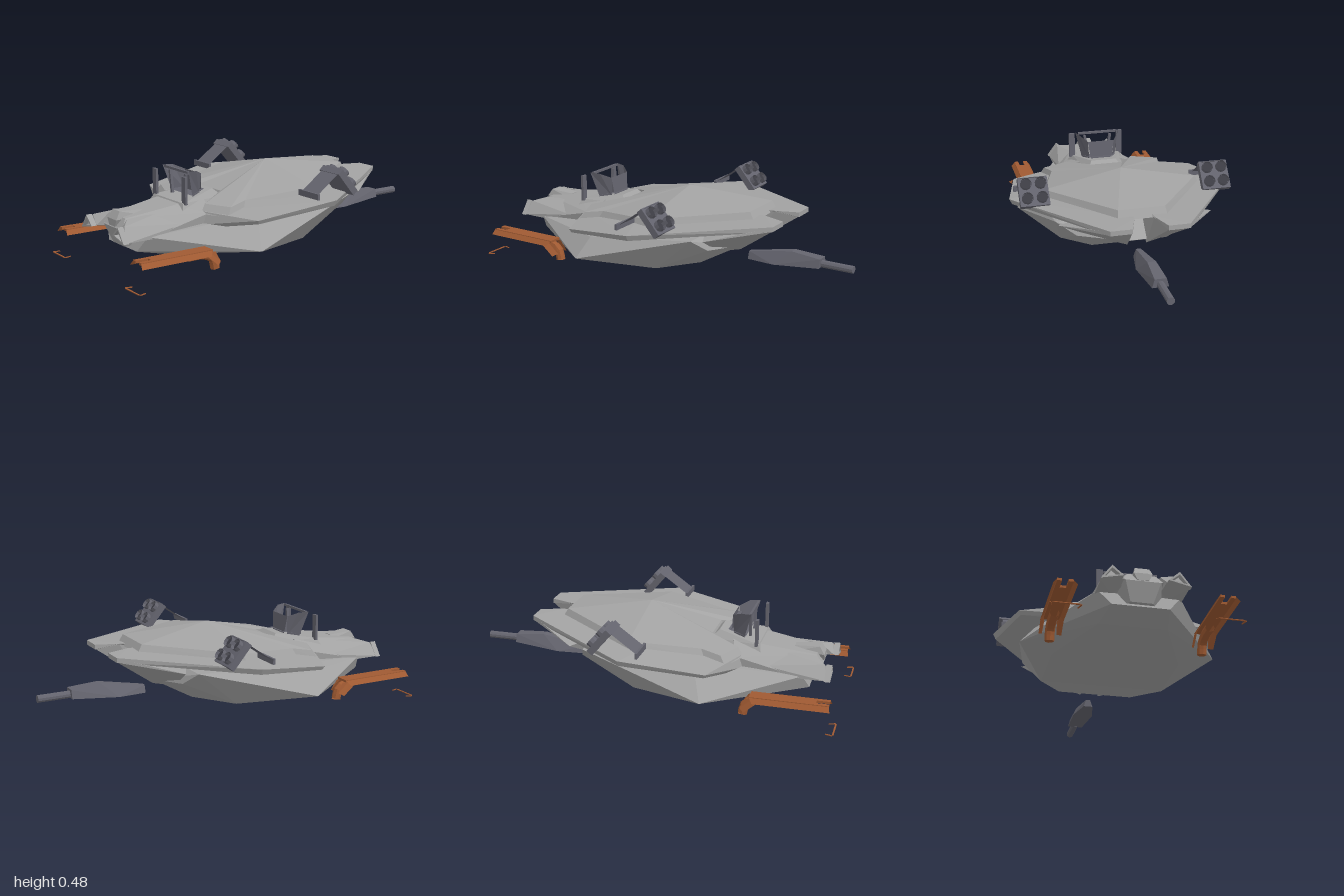
import * as THREE from 'three';
import { ConvexGeometry } from 'three/addons/geometries/ConvexGeometry.js';

const material = (name, color) => {
  const m = new THREE.MeshStandardMaterial({ color, flatShading: true, side: THREE.DoubleSide });
  m.name = name;
  return m;
};

export function createModel() {
  const model = new THREE.Group();
  model.name = 'hoverCraft';
  const hullGrey = material('hullGrey', 0xa2a2a2);
  const slate = material('slate', 0x64646e);
  const copper = material('copper', 0xa05a32);
  const bore = material('boreDark', 0x3c3c44);

  const add = (name, geo, mat, parent = model) => {
    const mesh = new THREE.Mesh(geo, mat);
    mesh.name = name;
    parent.add(mesh);
    return mesh;
  };
  const box = (name, w, h, d, x, y, z, mat, parent) => {
    const m = add(name, new THREE.BoxGeometry(w, h, d), mat, parent);
    m.position.set(x, y, z);
    return m;
  };
  // Faceted solid around corner points on one side
  const solid = (name, pts, mat, s = 1) =>
    add(name, new ConvexGeometry(pts.map(([x, y, z]) => new THREE.Vector3(x * s, y, z))), mat);
  // Faceted solid spanning the centre line
  const centred = (name, pts, mat) =>
    solid(name, [...pts, ...pts.map(([x, y, z]) => [-x, y, z])], mat);
  // Sheet with three or more corners, fanned from the first
  const sheet = (name, c, mat, parent) => {
    const pos = [];
    for (let i = 1; i < c.length - 1; i++) pos.push(...c[0], ...c[i], ...c[i + 1]);
    const g = new THREE.BufferGeometry();
    g.setAttribute('position', new THREE.Float32BufferAttribute(pos, 3));
    g.computeVertexNormals();
    return add(name, g, mat, parent);
  };

  // Lower hull: flat belly, wide chine rising to the rear
  centred('lowerHull', [
    [0.17, 0.08, 0.68], [0.33, 0.08, 0.3], [0.33, 0.08, -0.05], [0.2, 0.11, -0.24],
    [0.14, 0.11, 0.83], [0.5, 0.11, 0.34], [0.42, 0.215, 0.3], [0.2, 0.19, 0.8],
    [0.4, 0.29, -0.3], [0.3, 0.22, -0.34], [0.06, 0.19, -0.4],
  ], hullGrey);

  // Wings and split tail
  for (const s of [1, -1]) {
    solid('wing', [
      [0.05, 0.37, -0.53], [0.09, 0.37, -0.65], [0.2, 0.37, -0.65], [0.595, 0.33, -0.05],
      [0.51, 0.27, 0.37], [0.2, 0.275, 0.49], [0, 0.33, 0.2],
      [0.09, 0.345, -0.65], [0.2, 0.345, -0.65], [0.58, 0.3, -0.05], [0.5, 0.25, 0.36],
      [0.33, 0.215, 0.43], [0.21, 0.21, 0.5], [0, 0.21, 0.48], [0.4, 0.25, 0],
    ], hullGrey, s);
    solid('tailProng', [
      [0.05, 0.365, -0.53], [0.09, 0.365, -0.645], [0.2, 0.365, -0.645], [0.2, 0.345, -0.645],
      [0.05, 0.165, -0.39], [0.14, 0.165, -0.31], [0.4, 0.3, -0.37], [0.05, 0.3, -0.2],
      [0.09, 0.345, -0.645],
    ], hullGrey, s);
  }

  // Raised back plate: peak fanned to a rim, with a sloping skirt
  const half = [
    [0, 0.4, -0.48], [0.12, 0.4, -0.48], [0.41, 0.365, -0.05], [0.305, 0.325, 0.3],
    [0.33, 0.308, 0.405], [0.19, 0.308, 0.465], [0.1, 0.338, 0.31],
  ];
  const rim = [...half, ...half.slice(1).reverse().map(([x, y, z]) => [-x, y, z])];
  const skirt = rim.map(([x, y, z]) => [x * 1.06, y - 0.045, -0.05 + (z + 0.05) * 1.06]);
  const peak = [0, 0.45, -0.05];
  const plate = [];
  rim.forEach((a, i) => {
    const j = (i + 1) % rim.length, b = rim[j];
    plate.push(...peak, ...b, ...a, ...a, ...b, ...skirt[i], ...b, ...skirt[j], ...skirt[i]);
  });
  const plateGeo = new THREE.BufferGeometry();
  plateGeo.setAttribute('position', new THREE.Float32BufferAttribute(plate, 3));
  plateGeo.computeVertexNormals();
  add('backPlate', plateGeo, hullGrey);

  // Nose, chin and scoop
  centred('nose', [
    [0.1, 0.325, 0.42], [0.23, 0.27, 0.46], [0.22, 0.2, 0.46], [0.1, 0.3, 0.6],
    [0.07, 0.265, 0.85], [0.21, 0.23, 0.62], [0.2, 0.18, 0.8], [0.095, 0.22, 0.88],
  ], hullGrey);
  centred('chin', [
    [0.1, 0.23, 0.87], [0.085, 0.215, 0.885], [0.055, 0.12, 0.85], [0.13, 0.13, 0.7], [0.12, 0.23, 0.7],
  ], hullGrey);
  centred('scoop', [
    [0.022, 0.285, 0.73], [0.035, 0.295, 0.86], [0.045, 0.255, 0.885], [0.028, 0.22, 0.885], [0.04, 0.26, 0.73],
  ], hullGrey);
  sheet('scoopMouth', [[-0.03, 0.255, 0.888], [-0.02, 0.232, 0.888], [0.02, 0.232, 0.888], [0.03, 0.255, 0.888]], hullGrey);

  // Cheeks with framed triangular intakes
  for (const s of [1, -1]) {
    solid('cheek', [
      [0.21, 0.18, 0.55], [0.21, 0.23, 0.6], [0.1, 0.28, 0.66], [0.08, 0.18, 0.7],
      [0.21, 0.18, 0.925], [0.105, 0.205, 0.915], [0.16, 0.25, 0.905], [0.09, 0.265, 0.85],
    ], hullGrey, s);
    const tri = (pts, T) => new T(pts.map(([x, y]) => new THREE.Vector2(x * s, y)));
    const frame = tri([[0.215, 0.178], [0.105, 0.203], [0.16, 0.252]], THREE.Shape);
    frame.holes.push(tri([[0.195, 0.19], [0.122, 0.206], [0.16, 0.238]], THREE.Path));
    add('intakeFrame', new THREE.ExtrudeGeometry(frame, { depth: 0.03, bevelEnabled: false }), hullGrey)
      .position.z = 0.912;
  }

  // Cockpit surround, floor, seat and open canopy
  centred('cockpitSurround', [
    [0.07, 0.35, 0.34], [0.14, 0.312, 0.56], [0.1, 0.31, 0.3], [0.165, 0.27, 0.58],
  ], hullGrey);
  sheet('cockpitFloor', [[-0.065, 0.352, 0.385], [-0.1, 0.335, 0.485], [0.1, 0.335, 0.485], [0.065, 0.352, 0.385]], slate);
  box('seatBack', 0.075, 0.08, 0.02, 0, 0.38, 0.425, slate);
  sheet('canopyBack', [[-0.06, 0.34, 0.4], [0.06, 0.34, 0.4], [0.075, 0.437, 0.41], [-0.075, 0.437, 0.41]], slate);
  box('canopyTopBar', 0.22, 0.012, 0.012, 0, 0.457, 0.508, slate);
  for (const s of [1, -1]) {
    sheet('canopySide', [[0.065 * s, 0.33, 0.415], [0.095 * s, 0.32, 0.475], [0.125 * s, 0.463, 0.515],
      [0.11 * s, 0.46, 0.46], [0.075 * s, 0.437, 0.41]], slate);
    box('canopyStrut', 0.014, 0.12, 0.014, 0.065 * s, 0.385, 0.5, slate).rotation.z = -0.15 * s;
    box('sideScreen', 0.033, 0.14, 0.014, 0.139 * s, 0.375, 0.55, slate);
  }

  // Launcher pods: sloped cover, front lip, tilted four-tube head
  for (const s of [1, -1]) {
    const pod = new THREE.Group();
    pod.name = 'launcherPod';
    pod.position.x = 0.483 * s;
    model.add(pod);
    sheet('podCover', [[-0.062, 0.35, 0.04], [0.062, 0.35, 0.04], [0.062, 0.472, -0.13], [-0.062, 0.472, -0.13]], slate, pod);
    box('podLip', 0.155, 0.03, 0.012, 0, 0.35, 0.035, slate, pod);
    const head = new THREE.Group();
    head.name = 'podHead';
    head.position.set(0, 0.4, -0.155);
    head.rotation.x = 0.7;
    pod.add(head);
    box('podHeadBlock', 0.152, 0.155, 0.035, 0, 0, 0, slate, head);
    for (const x of [-0.038, 0.038]) for (const y of [-0.038, 0.038]) {
      const tube = add('launchTube', new THREE.CylinderGeometry(0.029, 0.029, 0.03, 10, 1, true), slate, head);
      tube.rotation.x = Math.PI / 2;
      tube.position.set(x, y, -0.027);
      const hole = add('tubeBore', new THREE.CircleGeometry(0.027, 10), bore, head);
      hole.rotation.y = Math.PI;
      hole.position.set(x, y, -0.024);
    }
  }

  // Rear gun
  centred('gunBody', [
    [0.012, 0.15, -0.42], [0.025, 0.11, -0.42], [0.055, 0.118, -0.58], [0.022, 0.197, -0.67],
    [0.042, 0.14, -0.83], [0.03, 0.185, -0.83],
  ], slate);
  const barrel = add('gunBarrel', new THREE.CylinderGeometry(0.02, 0.02, 0.19, 10), slate);
  barrel.rotation.x = Math.PI / 2;
  barrel.position.set(0, 0.155, -0.905);

  // Landing skids: slotted rail, side flanges, elbow and ground clip
  for (const s of [1, -1]) {
    const skid = new THREE.Group();
    skid.name = 'skid';
    skid.position.x = 0.38 * s;
    model.add(skid);
    const rail = new THREE.Shape([[-0.038, 0.57], [0.038, 0.57], [0.038, 0.965], [0.015, 0.965],
      [0.015, 0.9], [-0.015, 0.9], [-0.015, 0.965], [-0.038, 0.965]].map(p => new THREE.Vector2(...p)));
    const top = add('railTop', new THREE.ExtrudeGeometry(rail, { depth: 0.012, bevelEnabled: false }), copper, skid);
    top.rotation.x = Math.PI / 2;
    top.position.y = 0.141;
    for (const t of [1, -1]) {
      sheet('railFlange', [[0.036 * t, 0.14, 0.57], [0.036 * t, 0.14, 0.965], [0.056 * t, 0.113, 0.972],
        [0.056 * t, 0.113, 0.59]], copper, skid);
      sheet('elbowCheek', [[0.036 * t, 0.14, 0.6], [0.056 * t, 0.113, 0.61], [0.055 * t, 0.062, 0.55],
        [0.036 * t, 0.075, 0.525], [0.03 * t, 0.125, 0.55]], copper, skid);
      box('clipArm', 0.006, 0.004, 0.035, 0.065 * t, 0.002, 0.976, copper, skid).rotation.y = 0.3 * t;
    }
    const path = new THREE.CatmullRomCurve3([[0.68, 0.115], [0.6, 0.112], [0.55, 0.088], [0.535, 0.036]]
      .map(([z, y]) => new THREE.Vector3(0, y, z)));
    add('elbow', new THREE.TubeGeometry(path, 8, 0.024, 8), copper, skid);
    const foot = add('elbowEnd', new THREE.CircleGeometry(0.024, 8), copper, skid);
    foot.rotation.x = Math.PI / 2;
    foot.position.set(0, 0.036, 0.535);
    box('clipBar', 0.125, 0.004, 0.008, 0, 0.002, 0.995, copper, skid);
  }
  return model;
}
